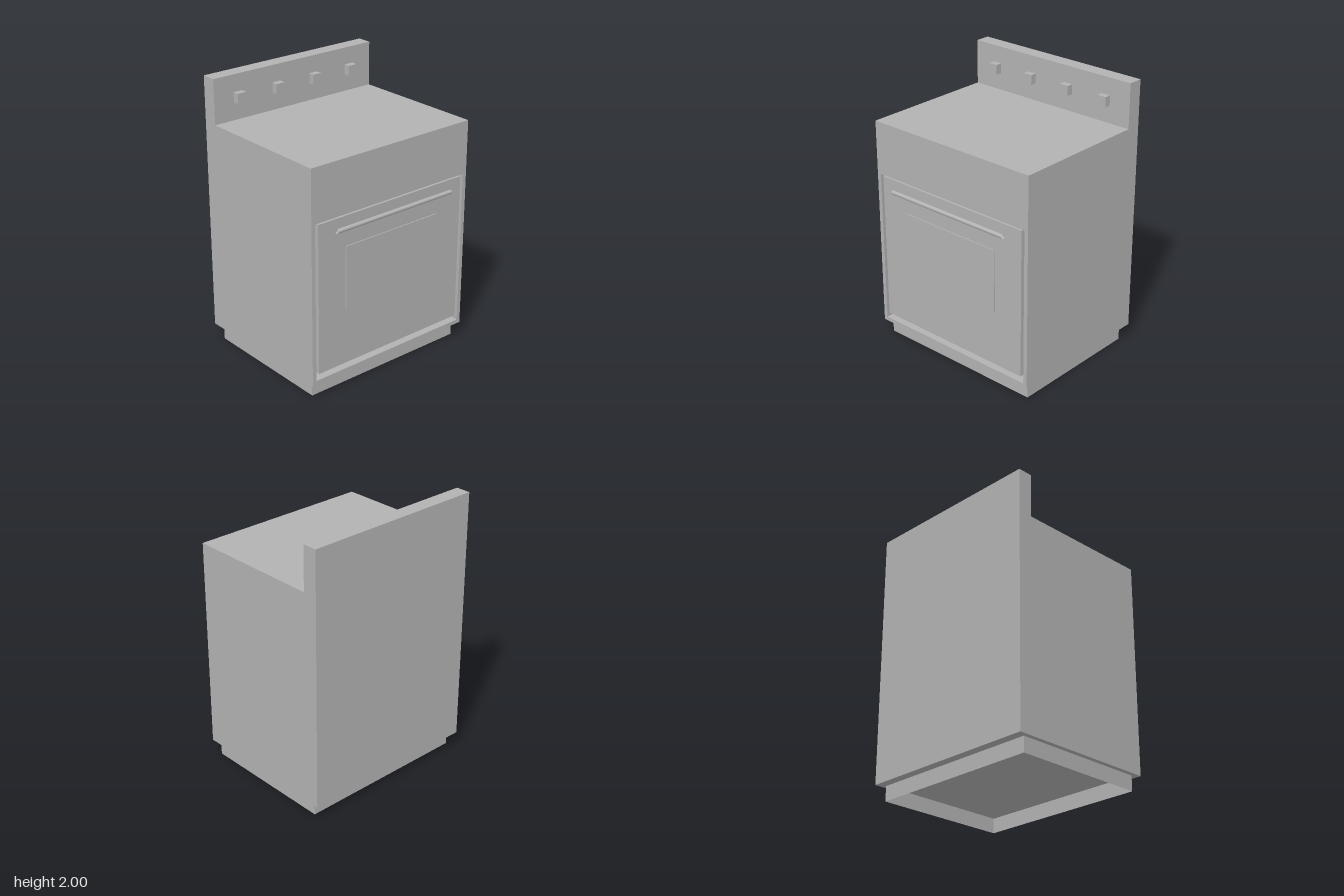
import * as THREE from 'three';

const W = 1.38, BACK = -0.595, FRONT = 0.54, BOTTOM = 0.11, COOKTOP = 1.675;
const RECESS = 0.12; // depth of the door opening

export function createModel() {
  const model = new THREE.Group();
  model.name = 'kitchenStove';

  const grey = new THREE.MeshStandardMaterial({ color: 0xb2b2b2 });
  grey.name = 'grey enamel';
  const thinGrey = grey; // one colour for the whole stove
  thinGrey.side = THREE.DoubleSide;

  const add = (name, geometry, x = 0, y = 0, z = 0) => {
    const mesh = new THREE.Mesh(geometry, grey);
    mesh.name = name;
    mesh.position.set(x, y, z);
    model.add(mesh);
    return mesh;
  };
  // Box given by its minimum and maximum corners
  const addBox = (name, x0, x1, y0, y1, z0, z1) =>
    add(name, new THREE.BoxGeometry(x1 - x0, y1 - y0, z1 - z0),
      (x0 + x1) / 2, (y0 + y1) / 2, (z0 + z1) / 2);
  const rect = (Type, x0, x1, y0, y1) => new Type([
    [x0, y0], [x1, y0], [x1, y1], [x0, y1],
  ].map(([x, y]) => new THREE.Vector2(x, y)));

  // Cabinet and backsplash: one L-shaped side profile swept across the width
  const inner = FRONT - RECESS;
  const profile = new THREE.Shape([
    [-inner, BOTTOM], [-BACK, BOTTOM], [-BACK, 2], [0.485, 2],
    [0.485, COOKTOP], [-inner, COOKTOP],
  ].map(([x, y]) => new THREE.Vector2(x, y)));
  const cabinet = new THREE.ExtrudeGeometry(profile, { depth: W, bevelEnabled: false });
  cabinet.translate(0, 0, -W / 2).rotateY(Math.PI / 2);
  add('cabinet', cabinet);

  // Front frame around the door opening
  const frame = rect(THREE.Shape, -W / 2, W / 2, BOTTOM, COOKTOP);
  frame.holes.push(rect(THREE.Path, -0.66, 0.66, 0.14, 1.287));
  add('frontFrame', new THREE.ExtrudeGeometry(frame, { depth: RECESS, bevelEnabled: false }), 0, 0, inner);

  // Oven door with its window plate, set in the opening with a gap all round
  addBox('ovenDoor', -0.635, 0.635, 0.185, 1.277, FRONT - 0.06, FRONT);
  addBox('ovenWindow', -0.405, 0.405, 0.59, 1.06, FRONT, FRONT + 0.007);

  // Hollow bar handle
  const handle = new THREE.CylinderGeometry(0.015, 0.015, 1.02, 24, 1, true);
  handle.rotateZ(Math.PI / 2);
  add('doorHandle', handle, 0, 1.205, 0.575);

  // Square control knobs on the backsplash
  for (let i = 0; i < 4; i++) {
    const x = -0.494 + i * 0.328;
    addBox('controlKnob', x - 0.035, x + 0.035, 1.802, 1.875, -0.485, -0.437);
  }

  // Recessed plinth: four thin walls, open underneath
  const bx = 0.655, z0 = -0.53, z1 = 0.488;
  for (const side of [-1, 1]) {
    const wall = add('plinthSide', new THREE.PlaneGeometry(z1 - z0, BOTTOM), side * bx, BOTTOM / 2, (z0 + z1) / 2);
    wall.rotation.y = side * Math.PI / 2;
  }
  add('plinthFront', new THREE.PlaneGeometry(2 * bx, BOTTOM), 0, BOTTOM / 2, z1);
  add('plinthBack', new THREE.PlaneGeometry(2 * bx, BOTTOM), 0, BOTTOM / 2, z0).rotation.y = Math.PI;

  return model;
}
